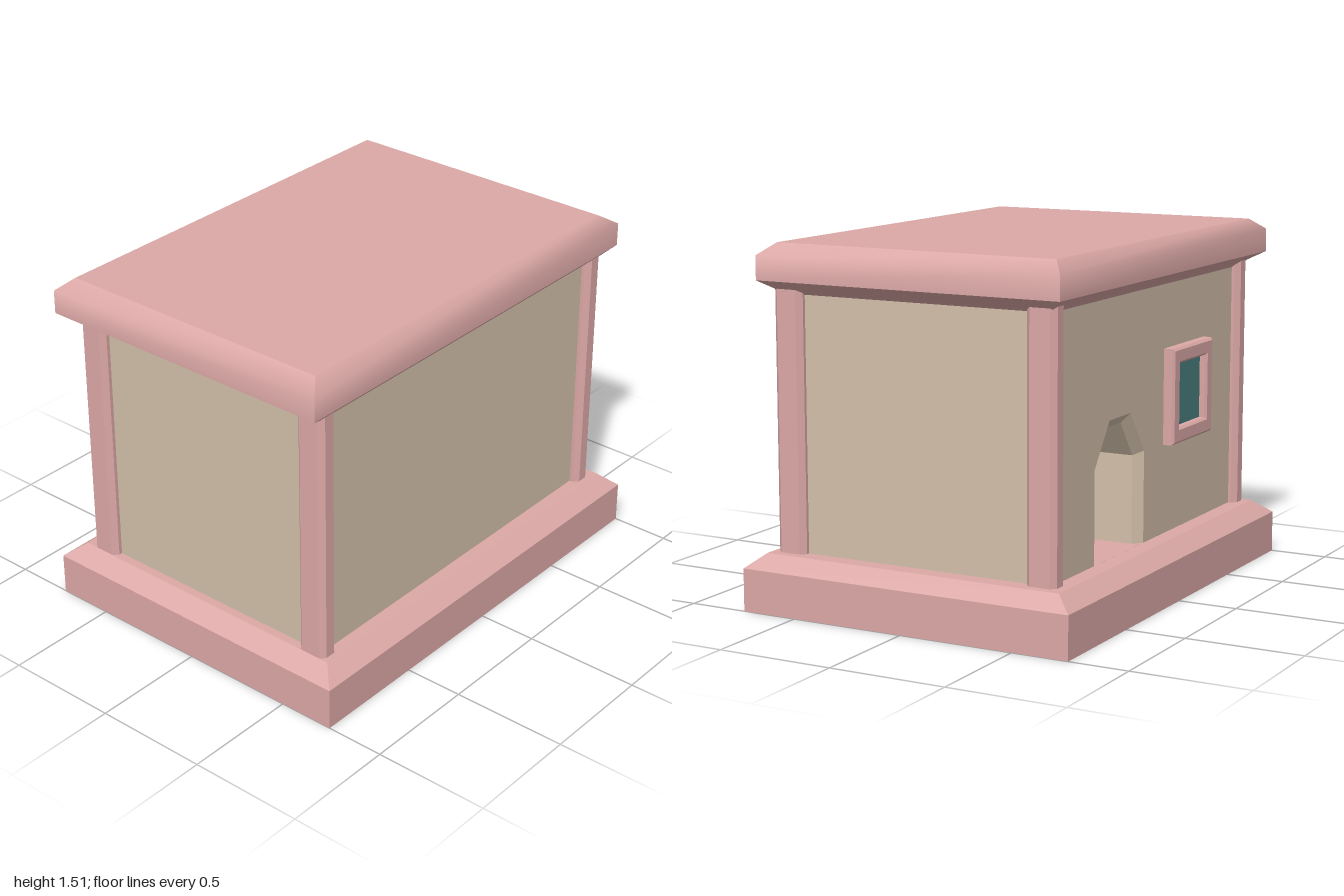
import * as THREE from 'three';
import { mergeGeometries } from 'three/addons/utils/BufferGeometryUtils.js';

const mat = (color) => new THREE.MeshStandardMaterial({ color, side: THREE.DoubleSide });
const pink = mat(0xdba8a6), beige = mat(0xd2bfa9), teal = mat(0x4a8080);

// Wall planes of the body
const X0 = -0.597, X1 = 0.612, Z0 = -0.862, Z1 = 0.888, FLOOR = 0.24, EAVE = 1.3;

function geometryFrom(points, index) {
  const g = new THREE.BufferGeometry();
  g.setAttribute('position', new THREE.Float32BufferAttribute(points.flat(), 3));
  g.setIndex(index);
  return g;
}

// Rectangular rings [x0, x1, z0, z1, y], lowest first; each side is a strip
// shaded smooth along its profile or flat, with sharp vertical corners.
function loft(rings, { smooth = false, sides = [0, 1, 2, 3], bottom = true, top = true } = {}) {
  const corners = rings.map(([x0, x1, z0, z1, y]) => [[x0, y, z1], [x1, y, z1], [x1, y, z0], [x0, y, z0]]);
  const parts = sides.map((s) => {
    const pts = [], idx = [];
    corners.forEach((c, i) => {
      pts.push(c[s], c[(s + 1) % 4]);
      const a = 2 * i;
      if (i < corners.length - 1) idx.push(a, a + 1, a + 3, a, a + 3, a + 2);
    });
    return geometryFrom(pts, idx);
  });
  if (bottom) parts.push(geometryFrom(corners[0], [0, 2, 1, 0, 3, 2]));
  if (top) parts.push(geometryFrom(corners[corners.length - 1], [0, 1, 2, 0, 2, 3]));
  return mergeGeometries(parts.map((g) => {
    if (smooth) g.computeVertexNormals();
    const flat = g.toNonIndexed();
    if (!smooth) flat.computeVertexNormals();
    return flat;
  }));
}

const shapeOf = (pts) => new THREE.Shape(pts.map(([x, y]) => new THREE.Vector2(x, y)));
const rectangle = (a, b, c, d) => [[a, c], [b, c], [b, d], [a, d]];

// Outline of the door opening on the side wall, as [z, y]
function doorOutline(inset) {
  const c = -0.269, w = 0.225 - inset, t = 0.095 - inset * 0.5;
  const shoulder = 0.63 - inset * 0.4, crown = 0.808 - inset;
  return [[c - w, FLOOR], [c + w, FLOOR], [c + w, shoulder], [c + t, crown], [c - t, crown], [c - w, shoulder]];
}

export function createModel() {
  const model = new THREE.Group();
  const add = (name, geometry, material) => {
    const mesh = new THREE.Mesh(geometry, material);
    mesh.name = name;
    model.add(mesh);
    return mesh;
  };

  // Chamfered plinth
  add('base', loft([
    [-0.745, 0.745, -1, 1, 0],
    [-0.745, 0.745, -1, 1, 0.18],
    [-0.67, 0.67, -0.935, 0.925, FLOOR],
  ]), pink);

  // Front, right and back walls
  add('walls', loft([[X0, X1, Z0, Z1, FLOOR], [X0, X1, Z0, Z1, EAVE + 0.01]],
    { sides: [0, 1, 2], bottom: false, top: false }), beige);

  // Left-hand wall with the door opening
  const wall = shapeOf([[Z0, FLOOR], ...[[Z0, EAVE + 0.01], [Z1, EAVE + 0.01], [Z1, FLOOR]].reverse()]);
  // the opening reaches the floor, so its bottom edge sits just above it
  wall.holes.push(new THREE.Path(doorOutline(0).map(([z, y]) => new THREE.Vector2(z, Math.max(y, FLOOR + 0.0005)))));
  add('doorWall', new THREE.ShapeGeometry(wall).rotateY(-Math.PI / 2).translate(X0, 0, 0), beige);

  // Recess behind the door: chamfered reveal, deep jambs and end wall
  const sections = [[X0, 0], [X0 + 0.035, 0.04], [X0 + 0.42, 0.04]]
    .map(([x, inset]) => doorOutline(inset).map(([z, y]) => [x, y, z]));
  const points = sections.flat(), index = [], n = 6;
  for (let s = 0; s < 2; s++) {
    for (let i = 1; i < n; i++) {
      const a = s * n + i, b = s * n + (i + 1) % n;
      index.push(a, a + n, b, b, a + n, b + n);
    }
  }
  for (let i = 1; i < n - 1; i++) index.push(2 * n, 2 * n + i, 2 * n + i + 1);
  const recess = geometryFrom(points, index).toNonIndexed();
  recess.computeVertexNormals();
  add('doorRecess', recess, beige);

  // Chamfered corner pillars
  const w = 0.066, d = 0.0455, c = 0.022;
  const section = shapeOf([
    [-w + c, -d], [w - c, -d], [w, -d + c], [w, d - c], [w - c, d], [-w + c, d], [-w, d - c], [-w, -d + c],
  ]);
  for (const x of [-0.566, 0.582]) {
    for (const z of [-0.8525, 0.8795]) {
      const g = new THREE.ExtrudeGeometry(section, { depth: 1.34 - FLOOR, bevelEnabled: false });
      add('cornerPillar', g.rotateX(-Math.PI / 2), pink).position.set(x, FLOOR, z);
    }
  }

  // Roof: coved underside, then slab with a sloped upper edge
  add('roofCove', loft([
    [X0, X1, Z0, Z1, EAVE],
    [X0 - 0.035, X1 + 0.03, Z0 - 0.045, Z1 + 0.04, 1.327],
    [-0.69, 0.675, -0.97, 0.995, 1.36],
  ], { smooth: true, top: false }), pink);
  add('roofSlab', loft([
    [-0.69, 0.675, -0.97, 0.995, 1.36],
    [-0.69, 0.675, -0.97, 0.995, 1.46],
    [-0.635, 0.622, -0.895, 0.925, 1.508],
  ], { smooth: true, bottom: false }), pink);

  // Window beside the door: bevelled frame around a pane
  const frame = shapeOf(rectangle(0.15, 0.525, 0.632, 1.02));
  frame.holes.push(new THREE.Path(rectangle(0.195, 0.48, 0.68, 0.972).map(([z, y]) => new THREE.Vector2(z, y))));
  const frameGeometry = new THREE.ExtrudeGeometry(frame, {
    depth: 0.038, bevelSize: 0.01, bevelThickness: 0.01, bevelSegments: 1,
  });
  add('windowFrame', frameGeometry.rotateY(-Math.PI / 2).translate(X0, 0, 0), pink);
  const pane = new THREE.BoxGeometry(0.02, 0.31, 0.3).translate(X0 - 0.005, 0.826, 0.3375);
  add('windowPane', pane, teal);

  return model;
}
